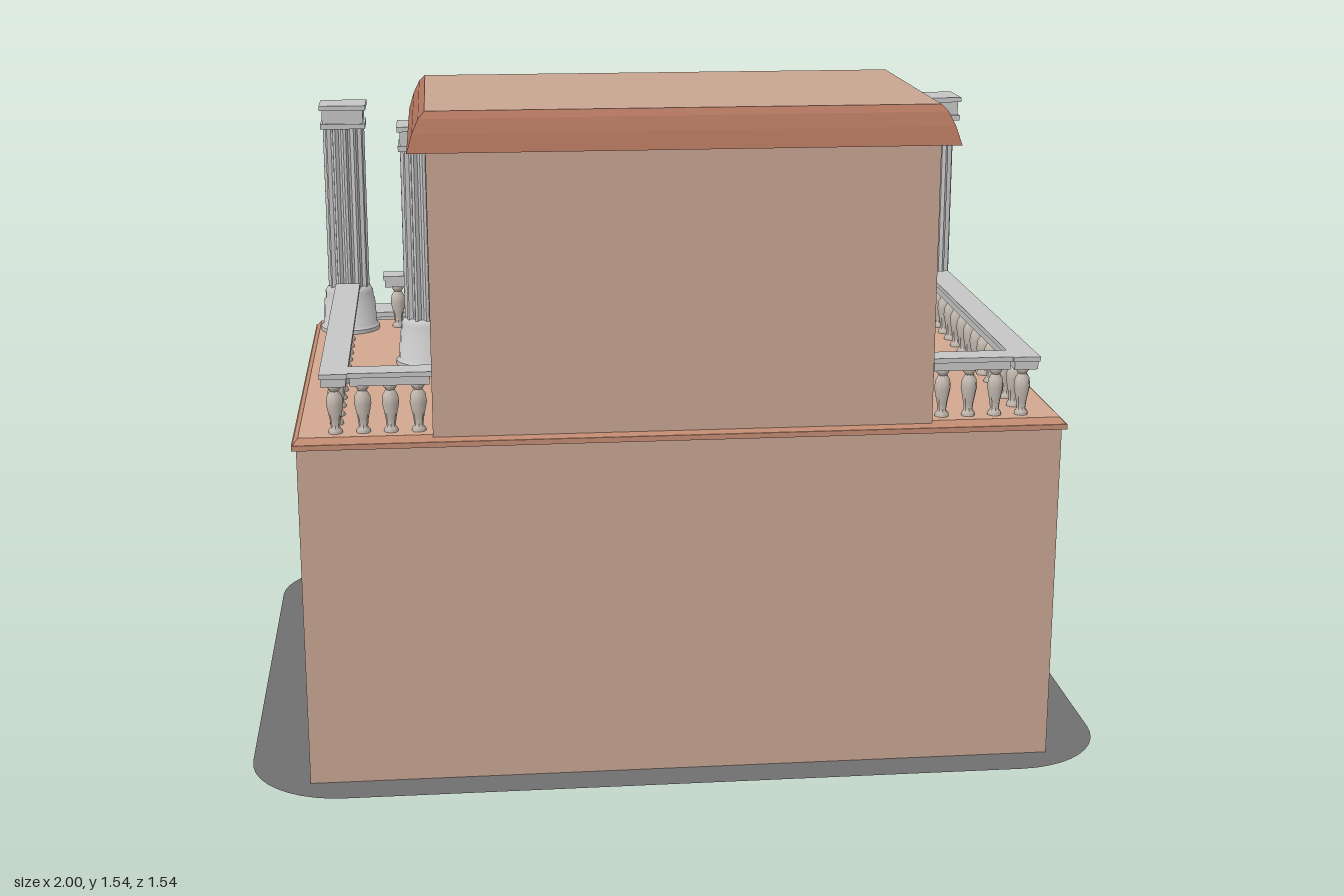
import * as THREE from 'three';
import { toCreasedNormals } from 'three/addons/utils/BufferGeometryUtils.js';

const mat = (name, color, extra = {}) => {
  const m = new THREE.MeshStandardMaterial({ color, ...extra });
  m.name = name;
  return m;
};

export function createModel() {
  const model = new THREE.Group();
  model.name = 'villa';
  const wall = mat('wall plaster', 0xc8a592);
  const deckMat = mat('deck tile', 0xd3a88f);
  const trim = mat('cornice terracotta', 0xc48d73);
  const lip = mat('roof terracotta', 0xb0755e);
  const doorMat = mat('door wood', 0x9c634d);
  const stone = mat('stone', 0xc6c6c6);
  const balusterMat = mat('baluster stone', 0xc4bab0);
  const paving = mat('paving', 0x707070, { side: THREE.DoubleSide });

  const add = (parent, name, geo, material, x = 0, y = 0, z = 0) => {
    const m = new THREE.Mesh(geo, material);
    m.name = name;
    m.position.set(x, y, z);
    parent.add(m);
    return m;
  };
  // Box given by its limits on each axis
  const block = (parent, name, material, x0, x1, y0, y1, z0, z1) =>
    add(parent, name, new THREE.BoxGeometry(x1 - x0, y1 - y0, z1 - z0), material,
      (x0 + x1) / 2, (y0 + y1) / 2, (z0 + z1) / 2);
  // Box whose top is drawn in on all sides
  const frustum = (w, h, d, inset) => {
    const g = new THREE.BoxGeometry(w, h, d);
    const p = g.attributes.position;
    for (let i = 0; i < p.count; i++) {
      if (p.getY(i) < 0) continue;
      p.setX(i, p.getX(i) - Math.sign(p.getX(i)) * inset);
      p.setZ(i, p.getZ(i) - Math.sign(p.getZ(i)) * inset);
    }
    g.computeVertexNormals();
    return g;
  };
  const lathe = (pts, sides) =>
    toCreasedNormals(new THREE.LatheGeometry(pts.map(p => new THREE.Vector2(...p)), sides), 0.85);

  // Paved ground with rounded corners
  const W = 1, D = 0.77, R = 0.22;
  const outline = new THREE.Shape();
  outline.absarc(W - R, D - R, R, 0, Math.PI / 2);
  outline.absarc(R - W, D - R, R, Math.PI / 2, Math.PI);
  outline.absarc(R - W, R - D, R, Math.PI, Math.PI * 1.5);
  outline.absarc(W - R, R - D, R, Math.PI * 1.5, Math.PI * 2);
  add(model, 'ground', new THREE.ShapeGeometry(outline, 5).rotateX(-Math.PI / 2), paving, 0, 0.003, 0);

  // Lower storey, cornice and deck
  block(model, 'lowerStorey', wall, -0.86, 0.86, 0, 0.8, -0.425, 0.685);
  block(model, 'cornice', trim, -0.87, 0.87, 0.8, 0.812, -0.438, 0.695);
  add(model, 'deck', frustum(1.735, 0.014, 1.128, 0.012),
    [trim, trim, deckMat, trim, trim, trim], 0, 0.819, 0.1285);

  // Upper storey and curved roof edge
  block(model, 'upperStorey', wall, -0.56, 0.56, 0.82, 1.46, 0.05, 0.685);
  let w = 1.2, d = 0.69, y = 1.455;
  for (const [h, inset] of [[0.04, 0.012], [0.03, 0.014], [0.015, 0.014]]) {
    add(model, 'roof', frustum(w, h, d, inset), [lip, lip, wall, lip, lip, lip], 0, y + h / 2, 0.365);
    w -= 2 * inset; d -= 2 * inset; y += h;
  }

  // Arched doors, on the back walls
  const archShape = (half, shoulder, top, Type = THREE.Shape) => {
    const s = new Type();
    s.moveTo(-half, 0);
    s.lineTo(half, 0);
    for (let i = 0; i <= 5; i++) {
      const a = Math.PI * i / 5;
      s.lineTo(half * Math.cos(a), shoulder + (top - shoulder) * Math.sin(a) / Math.sin(Math.PI * 0.4));
    }
    return s;
  };
  const frameShape = archShape(0.115, 0.3, 0.365);
  frameShape.holes.push(archShape(0.08, 0.275, 0.33, THREE.Path));
  const frameGeo = new THREE.ExtrudeGeometry(frameShape, { depth: 0.03, bevelEnabled: false });
  const leafGeo = new THREE.ExtrudeGeometry(archShape(0.08, 0.275, 0.33), { depth: 0.009, bevelEnabled: false });
  for (const [base, z] of [[0.012, -0.42], [0.826, 0.055]]) {
    const door = new THREE.Group();
    door.name = 'door';
    add(door, 'doorFrame', frameGeo, wall);
    add(door, 'doorLeaf', leafGeo, doorMat, 0, 0, 0.004);
    door.position.set(0, base, z);
    door.rotation.y = Math.PI;
    model.add(door);
  }

  // Fluted columns with round base and square capital
  const flutes = 12, ring = [];
  for (let i = 0; i < flutes * 4; i++) {
    const a = i / (flutes * 4) * Math.PI * 2;
    const r = [0.053, 0.053, 0.045, 0.045][i % 4];
    ring.push(new THREE.Vector2(r * Math.cos(a), r * Math.sin(a)));
  }
  const shaftGeo = new THREE.ExtrudeGeometry(new THREE.Shape(ring), { depth: 0.43, bevelEnabled: false })
    .rotateX(-Math.PI / 2);
  const baseGeo = lathe([[0, 0], [0.077, 0], [0.077, 0.014], [0.07, 0.02], [0.066, 0.085], [0.062, 0.09],
    [0.062, 0.108], [0.056, 0.118], [0.05, 0.122], [0, 0.122]], 20);
  const column = (name, x, y0, z) => {
    const c = new THREE.Group();
    c.name = name;
    add(c, 'columnBase', baseGeo, stone);
    add(c, 'columnShaft', shaftGeo, stone, 0, 0.118, 0);
    block(c, 'capitalPlate', stone, -0.057, 0.057, 0.54, 0.553, -0.057, 0.057);
    block(c, 'capitalBlock', stone, -0.052, 0.052, 0.553, 0.588, -0.052, 0.052);
    block(c, 'capitalTop', stone, -0.059, 0.059, 0.588, 0.6, -0.059, 0.059);
    c.position.set(x, y0, z);
    model.add(c);
  };
  for (const s of [-1, 1]) {
    column('cornerColumn', s * 0.775, 0.822, -0.335);
    column('wallColumn', s * 0.572, 0.822, 0.045);
  }
  for (const x of [-0.515, 0, 0.515]) column('arcadeColumn', x, 0.003, -0.66);

  // Arcade: two full arches with a half arch at each end
  const arcade = new THREE.Shape();
  arcade.moveTo(-0.768, 0.788);
  for (const c of [-0.768, -0.2575, 0.2575, 0.768]) {
    for (let i = 0; i <= 16; i++) {
      const x = c - 0.2 * Math.cos(Math.PI * i / 16);
      if (Math.abs(x) < 0.769) arcade.lineTo(x, 0.603 + 0.147 * Math.sin(Math.PI * i / 16));
    }
  }
  arcade.lineTo(0.768, 0.788);
  add(model, 'arcade', toCreasedNormals(
    new THREE.ExtrudeGeometry(arcade, { depth: 0.1, bevelEnabled: false }), 0.6), stone, 0, 0, -0.712);
  block(model, 'arcadeTop', stone, -0.768, 0.768, 0.788, 0.802, -0.717, -0.607);

  // Balustrades: two-step handrail over turned balusters
  const balusterGeo = lathe([[0.016, 0], [0.016, 0.01], [0.01, 0.018], [0.012, 0.035], [0.019, 0.07],
    [0.017, 0.088], [0.01, 0.1], [0.015, 0.108], [0.015, 0.118]], 8);
  const balustrade = (x0, x1, z0, z1, count) => {
    const g = new THREE.Group();
    g.name = 'balustrade';
    block(g, 'handrail', stone, x0 + 0.004, x1 - 0.004, 0.938, 0.957, z0 + 0.004, z1 - 0.004);
    block(g, 'handrailTop', stone, x0, x1, 0.957, 0.968, z0, z1);
    const alongX = x1 - x0 > z1 - z0;
    for (let i = 0; i < count; i++) {
      const t = (i + 0.5) / count;
      add(g, 'baluster', balusterGeo, balusterMat,
        alongX ? x0 + (x1 - x0) * t : (x0 + x1) / 2, 0.822,
        alongX ? (z0 + z1) / 2 : z0 + (z1 - z0) * t);
    }
    model.add(g);
  };
  balustrade(-0.685, 0.685, -0.37, -0.31, 19);
  balustrade(0.743, 0.805, -0.235, 0.68, 13);
  balustrade(-0.805, -0.743, -0.235, 0.68, 13);
  balustrade(0.56, 0.743, 0.613, 0.675, 3);
  balustrade(-0.743, -0.56, 0.613, 0.675, 3);

  return model;
}
